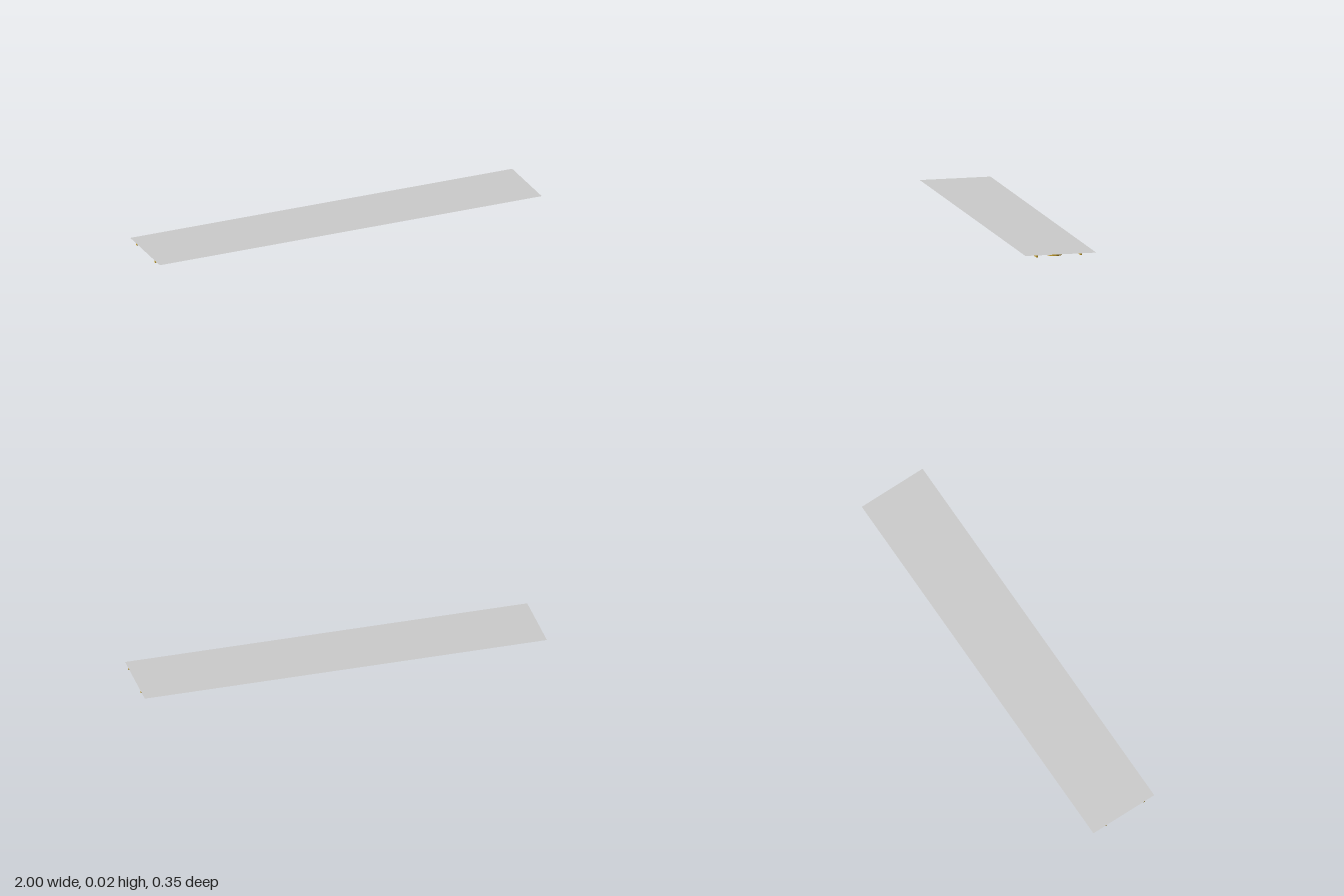
import * as THREE from 'three';

const HEIGHT = 0.0196;
const gold = new THREE.MeshStandardMaterial({ color: 0xcca42c, flatShading: true });
const grey = new THREE.MeshStandardMaterial({ color: 0xcccccc, side: THREE.DoubleSide });

// Elongated ring outline with faceted round ends, half sizes a (x) and b (z)
function ringOutline(a, b, depth) {
  const end = [[a - depth, -b], [a - depth * 0.25, -b * 0.43], [a, 0], [a - depth * 0.25, b * 0.43], [a - depth, b]];
  const points = [...end, ...end.map(([x, y]) => [-x, -y])];
  return points.map(([x, y]) => new THREE.Vector2(x, y));
}

export function createModel() {
  const group = new THREE.Group();
  const add = (name, geometry, material, x, y, z) => {
    const mesh = new THREE.Mesh(geometry, material);
    mesh.name = name;
    mesh.position.set(x, y, z);
    group.add(mesh);
  };

  // Thin flat sheet on top
  add('sheet', new THREE.PlaneGeometry(2, 0.35).rotateX(-Math.PI / 2), grey, 0, HEIGHT, 0);

  // Two rows of straight strips under the sheet
  for (const [x0, x1] of [[-1, -0.365], [-0.25, 0.385], [0.487, 1]]) {
    for (const z of [0.118, -0.101]) {
      const strip = new THREE.BoxGeometry(x1 - x0, 0.009, 0.007);
      add('strip', strip, gold, (x0 + x1) / 2, HEIGHT - 0.0048, z);
    }
  }

  // Three long rings along the middle
  const shape = new THREE.Shape(ringOutline(0.275, 0.034, 0.022));
  shape.holes.push(new THREE.Path(ringOutline(0.267, 0.026, 0.018).reverse()));
  const ring = new THREE.ExtrudeGeometry(shape, { depth: 0.009, bevelEnabled: false });
  ring.rotateX(-Math.PI / 2);
  for (const x of [-0.635, 0.025, 0.665]) add('ring', ring, gold, x, 0, 0.007);

  return group;
}
